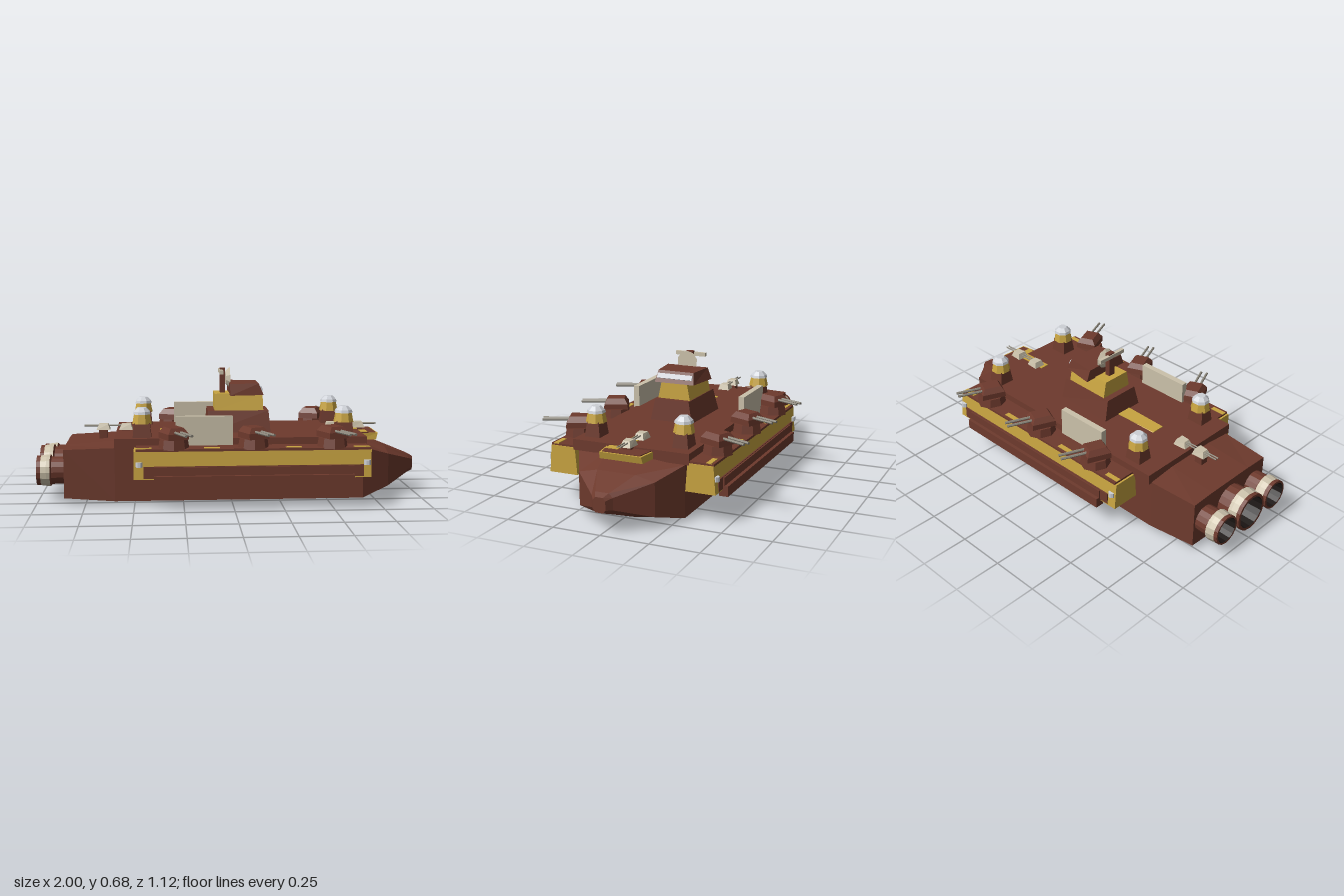
import * as THREE from 'three';

const mat = (name, color) => {
  const m = new THREE.MeshStandardMaterial({ color });
  m.name = name;
  return m;
};

export function createModel() {
  const root = new THREE.Group();
  root.name = 'landship';
  const brown = mat('rust brown', 0x6e3a2d);
  const gold = mat('ochre gold', 0xc8a440);
  const cream = mat('cream', 0xcbc1aa);
  const white = mat('pale grey', 0xcdd0d6);
  const metal = mat('gun metal', 0x8c877b);
  const dark = mat('soot', 0x1c1614);

  // Adds a faceted mesh
  const add = (name, geo, material, parent = root) => {
    const g = geo.index ? geo.toNonIndexed() : geo;
    g.computeVertexNormals();
    const mesh = new THREE.Mesh(g, material);
    mesh.name = name;
    parent.add(mesh);
    return mesh;
  };
  // Box given by its limits
  const box = (name, x0, x1, y0, y1, z0, z1, material, parent) =>
    add(name, new THREE.BoxGeometry(x1 - x0, y1 - y0, z1 - z0)
      .translate((x0 + x1) / 2, (y0 + y1) / 2, (z0 + z1) / 2), material, parent);
  // Tapered block: lower and upper rectangles as [x0, x1, zRear, zFront], z symmetric
  const block = (name, y0, lo, y1, hi, material, parent) => {
    const g = new THREE.BoxGeometry(1, 1, 1), p = g.attributes.position;
    for (let i = 0; i < p.count; i++) {
      const up = p.getY(i) > 0, front = p.getX(i) > 0, r = up ? hi : lo;
      p.setXYZ(i, front ? r[1] : r[0], up ? y1 : y0, Math.sign(p.getZ(i)) * (front ? r[3] : r[2]));
    }
    return add(name, g, material, parent);
  };
  const cyl = (name, rTop, rBottom, h, n, material, parent, x, y, z) => {
    const m = add(name, new THREE.CylinderGeometry(rTop, rBottom, h, n).rotateY(Math.PI / n), material, parent);
    m.position.set(x, y, z);
    return m;
  };

  // Hull sections: x, top y, top half width, shoulder y, half width, chine y, keel half width, keel y
  const sections = [
    [-0.86, 0.29, 0.14, 0.285, 0.27, 0.035, 0.14, 0.03],
    [-0.60, 0.31, 0.14, 0.295, 0.29, 0.02, 0.13, 0.005],
    [0.68, 0.30, 0.13, 0.285, 0.285, 0.02, 0.13, 0.005],
    [0.83, 0.258, 0.10, 0.235, 0.20, 0.065, 0.09, 0.05],
    [0.97, 0.205, 0.035, 0.185, 0.055, 0.125, 0.035, 0.105],
    [1.00, 0.19, 0.02, 0.175, 0.032, 0.13, 0.02, 0.115],
  ];
  const pos = [], idx = [];
  for (const [x, ty, tw, sy, w, cy, kw, ky] of sections) {
    const half = [[tw, ty], [w, sy], [w, cy], [kw, ky]];
    for (const [z, y] of half) pos.push(x, y, z);
    for (const [z, y] of half.reverse()) pos.push(x, y, -z);
  }
  const last = (sections.length - 1) * 8;
  for (let s = 0; s < last; s += 8) for (let i = 0; i < 8; i++) {
    const a = s + i, b = s + (i + 1) % 8;
    idx.push(a, b, b + 8, a, b + 8, a + 8);
  }
  for (let i = 1; i < 7; i++) idx.push(0, i + 1, i, last, last + i, last + i + 1);
  const hull = new THREE.BufferGeometry();
  hull.setAttribute('position', new THREE.Float32BufferAttribute(pos, 3));
  hull.setIndex(idx);
  add('hull', hull, brown);

  // Deck and painted plates
  box('mainDeck', -0.6, 0.69, 0.29, 0.345, -0.31, 0.31, brown);
  block('aftDeckStripe', 0.342, [-0.37, -0.11, 0.042, 0.042], 0.349, [-0.37, -0.11, 0.035, 0.042], gold).position.z = 0.012;
  box('foreDeckStripe', 0.51, 0.69, 0.342, 0.349, 0, 0.05, gold);
  block('bowPlatform', 0.298, [0.68, 0.78, 0.125, 0.115], 0.333, [0.68, 0.79, 0.125, 0.11], gold);
  block('bowPlatformTop', 0.332, [0.685, 0.78, 0.115, 0.1], 0.337, [0.685, 0.78, 0.115, 0.1], brown);
  box('bowPlatformPatch', 0.69, 0.735, 0.335, 0.34, 0.04, 0.105, gold);

  // Side sponsons, turrets and shields
  for (const s of [1, -1]) {
    const side = new THREE.Group();
    side.name = s > 0 ? 'leftSide' : 'rightSide';
    root.add(side);
    const sponson = block('sponson', 0.16, [-0.5, 0.69, 0.077, 0.077], 0.30, [-0.5, 0.69, 0.066, 0.066], gold, side);
    sponson.position.z = s * 0.368;
    box('sponsonDeck', -0.49, 0.685, 0.298, 0.31, s * 0.37 - 0.065, s * 0.37 + 0.065, brown, side);
    box('recessPanel', -0.45, 0.65, 0.166, 0.225, s * 0.443 - 0.004, s * 0.443 + 0.004, brown, side);
    box('sideRail', -0.4, 0.6, 0.128, 0.18, s * 0.45 - 0.023, s * 0.45 + 0.023, brown, side);
    box('upperRail', -0.4, 0.6, 0.18, 0.222, s * 0.445 - 0.01, s * 0.445 + 0.01, brown, side);
    for (const x of [-0.45, -0.11, 0.30, 0.645])
      box('deckPatch', x - 0.04, x + 0.04, 0.307, 0.313, s * 0.408 - 0.013, s * 0.408 + 0.013, gold, side);
    for (const x of [-0.472, 0.668])
      cyl('cornerLamp', 0.018, 0.018, 0.025, 8, white, side, x, 0.235, s * 0.438);
    box('shield', -0.29, 0, 0.31, 0.458, s * 0.307 - 0.016, s * 0.307 + 0.016, cream, side);

    for (const x of [-0.3, 0.1, 0.5]) {
      const t = new THREE.Group();
      t.name = 'sideTurret';
      t.position.set(x, 0, s * 0.378);
      t.rotation.y = s > 0 ? 0.4 : Math.PI - 0.4;
      side.add(t);
      cyl('turretBase', 0.07, 0.078, 0.05, 8, brown, t, 0, 0.33, 0);
      block('turretHousing', 0.355, [-0.055, 0.055, 0.065, 0.065], 0.385, [-0.055, 0.055, 0.062, 0.062], brown, t);
      block('turretRoof', 0.385, [-0.055, 0.055, 0.062, 0.062], 0.413, [-0.035, 0.035, 0.045, 0.045], brown, t);
      for (const bx of [-0.016, 0.016])
        cyl('gunBarrel', 0.007, 0.007, 0.15, 6, metal, t, bx, 0.392, 0.113).rotation.x = Math.PI / 2;
    }
    // Domed watch towers
    for (const x of [-0.46, 0.58]) {
      const d = new THREE.Group();
      d.name = 'domeTower';
      d.position.set(x, 0, s * 0.237);
      side.add(d);
      block('towerBase', 0.34, [-0.048, 0.048, 0.042, 0.042], 0.42, [-0.04, 0.04, 0.032, 0.032], brown, d);
      cyl('towerCollar', 0.042, 0.053, 0.052, 8, gold, d, 0, 0.44, 0);
      cyl('domeRim', 0.044, 0.048, 0.014, 8, white, d, 0, 0.469, 0);
      cyl('domeCap', 0.024, 0.044, 0.02, 8, white, d, 0, 0.486, 0);
    }
  }

  // Bridge superstructure
  block('bridgeBase', 0.34, [-0.125, 0.215, 0.128, 0.118], 0.457, [-0.115, 0.205, 0.1, 0.095], brown);
  block('bridgeMiddle', 0.457, [-0.08, 0.178, 0.095, 0.09], 0.545, [-0.08, 0.175, 0.078, 0.072], gold);
  block('bridgeCabin', 0.54, [0, 0.178, 0.137, 0.11], 0.6, [0, 0.152, 0.115, 0.1], brown);
  const windowPlate = box('bridgeWindow', -0.004, 0.004, -0.013, 0.013, -0.098, 0.098, white);
  windowPlate.position.set(0.167, 0.574, 0);
  windowPlate.rotation.z = 0.41;

  // Radar
  box('radarMast', -0.047, -0.02, 0.54, 0.675, -0.02, 0.02, brown);
  box('radarBar', -0.052, -0.034, 0.648, 0.668, -0.085, 0.085, cream);
  cyl('radarDish', 0.057, 0.035, 0.022, 10, cream, root, -0.006, 0.624, 0).rotation.z = -Math.PI / 2;

  // Small deck guns, pointing away from midships
  for (const [x, y, dir] of [[-0.67, 0.345, -1], [-0.55, 0.345, -1], [0.56, 0.345, 1], [0.70, 0.345, 1]]) {
    const g = new THREE.Group();
    g.name = 'deckGun';
    g.position.set(x, y, 0);
    g.rotation.y = dir > 0 ? 0 : Math.PI;
    root.add(g);
    box('gunFoot', -0.022, 0.022, -0.05, 0.01, -0.022, 0.022, brown, g);
    block('gunHousing', 0.005, [-0.036, 0.036, 0.033, 0.028], 0.036, [-0.026, 0.022, 0.023, 0.018], cream, g);
    for (const z of [-0.008, 0.008])
      cyl('gunBarrel', 0.004, 0.004, 0.08, 6, metal, g, 0.06, 0.026, z).rotation.z = Math.PI / 2;
  }

  // Engine nozzles, axis along x, mouth facing aft
  const lathe = (pts) => new THREE.LatheGeometry(pts.map(([r, y]) => new THREE.Vector2(r, y)), 16).rotateZ(Math.PI / 2);
  for (const [z, r] of [[-0.19, 0.082], [0, 0.106], [0.19, 0.082]]) {
    const e = new THREE.Group();
    e.name = 'engine';
    e.position.set(0, 0.167, z);
    root.add(e);
    add('engineNeck', lathe([[r * 0.85, 0.84], [r * 0.88, 0.925], [r, 0.932]]), brown, e);
    add('engineBand', lathe([[r, 0.932], [r, 0.95], [r * 0.95, 0.98]]), cream, e);
    add('engineRim', lathe([[r * 0.95, 0.98], [r * 0.95, 1], [r * 0.82, 1]]), brown, e);
    add('engineBore', lathe([[r * 0.82, 1], [r * 0.78, 0.91], [0, 0.91]]), dark, e);
    cyl('engineCore', r * 0.6, r * 0.6, 0.02, 16, white, e, -0.915, 0, 0).rotation.z = Math.PI / 2;
  }
  return root;
}
